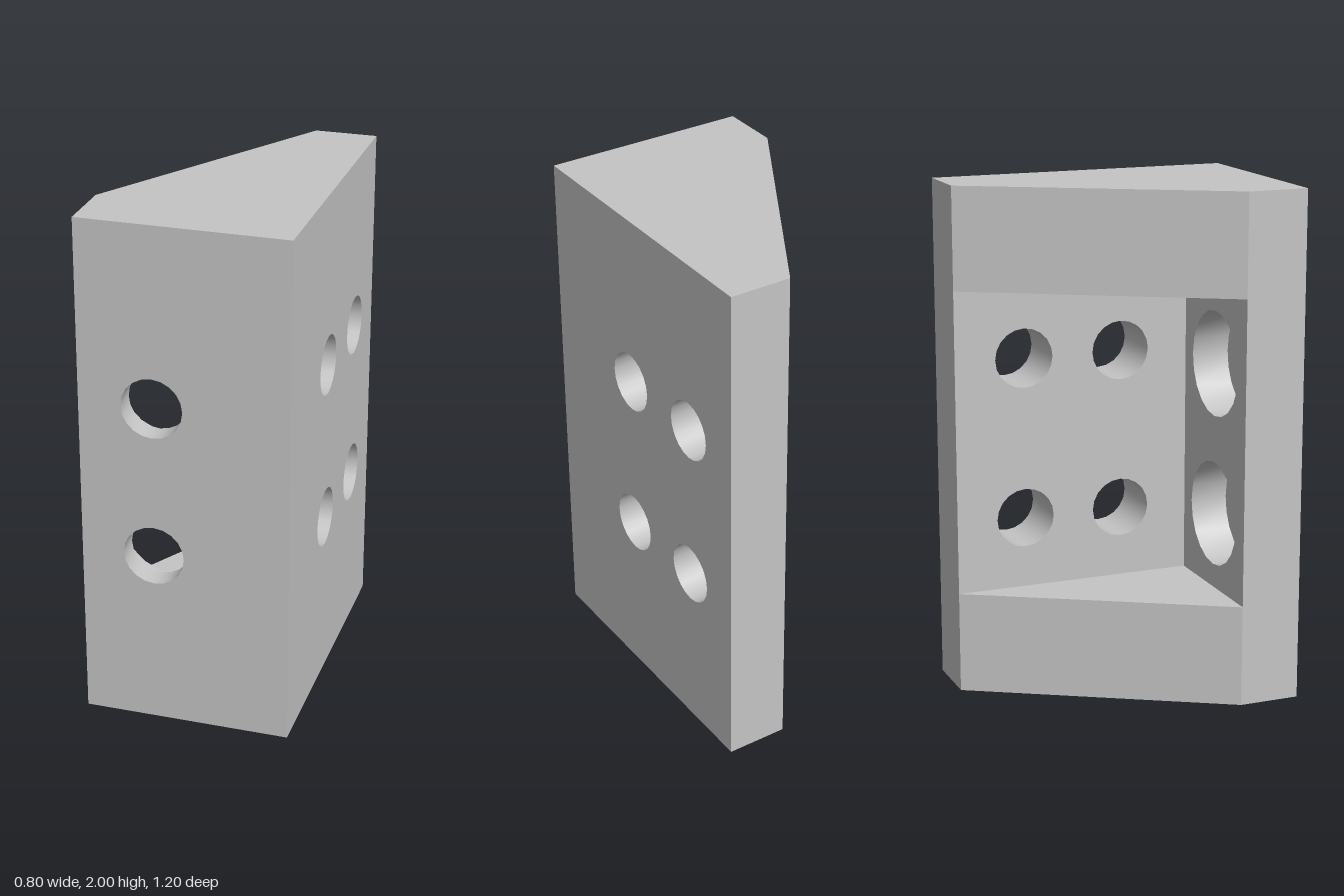
import * as THREE from 'three';
import { toCreasedNormals } from 'three/addons/utils/BufferGeometryUtils.js';

const HOLE = 0.117, BORE = 0.208;

// Closed outline with round holes given as [x, y, radius]
function outline(points, holes = []) {
  const shape = new THREE.Shape(points.map(([x, y]) => new THREE.Vector2(x, y)));
  for (const [x, y, r] of holes) {
    shape.holes.push(new THREE.Path().absarc(x, y, r, 0, Math.PI * 2, true));
  }
  return shape;
}

const rect = (x0, x1, y0, y1) => [[x0, y0], [x1, y0], [x1, y1], [x0, y1]];

function extrude(shape, depth) {
  return new THREE.ExtrudeGeometry(shape, { depth, bevelEnabled: false, curveSegments: 10 });
}

export function createModel() {
  const model = new THREE.Group();
  model.name = 'cornerBracket';
  const grey = new THREE.MeshStandardMaterial({ color: 0xc4c4c4 });
  grey.name = 'grey metal';

  function add(name, geometry) {
    const mesh = new THREE.Mesh(toCreasedNormals(geometry, 0.6), grey);
    mesh.name = name;
    model.add(mesh);
  }

  // Side plate with four straight holes, drawn with -z across and y up
  const sideHoles = [];
  for (const z of [0.08, -0.32]) for (const y of [0.68, 1.32]) sideHoles.push([-z, y, HOLE]);
  add('sidePlate', extrude(outline(rect(-0.6, 0.6, 0, 2), sideHoles), 0.24)
    .rotateY(Math.PI / 2).translate(0.16, 0, 0));

  // Front plate in two layers: narrow holes outside, wide counterbores inside
  for (const [name, r, z, depth] of [['frontPlate', HOLE, 0.51, 0.09], ['counterborePlate', BORE, 0.36, 0.15]]) {
    const holes = [0.7, 1.3].map((y) => [-0.12, y, r]);
    add(name, extrude(outline(rect(-0.4, 0.16, 0, 2), holes), depth).translate(0, 0, z));
  }

  // Triangular end blocks closing the pocket, drawn with -z up
  for (const [name, y] of [['bottomGusset', 0], ['topGusset', 1.6]]) {
    add(name, extrude(outline([[-0.4, -0.36], [0.16, -0.36], [0.16, 0.6]]), 0.4)
      .rotateX(-Math.PI / 2).translate(0, y, 0));
  }

  return model;
}
